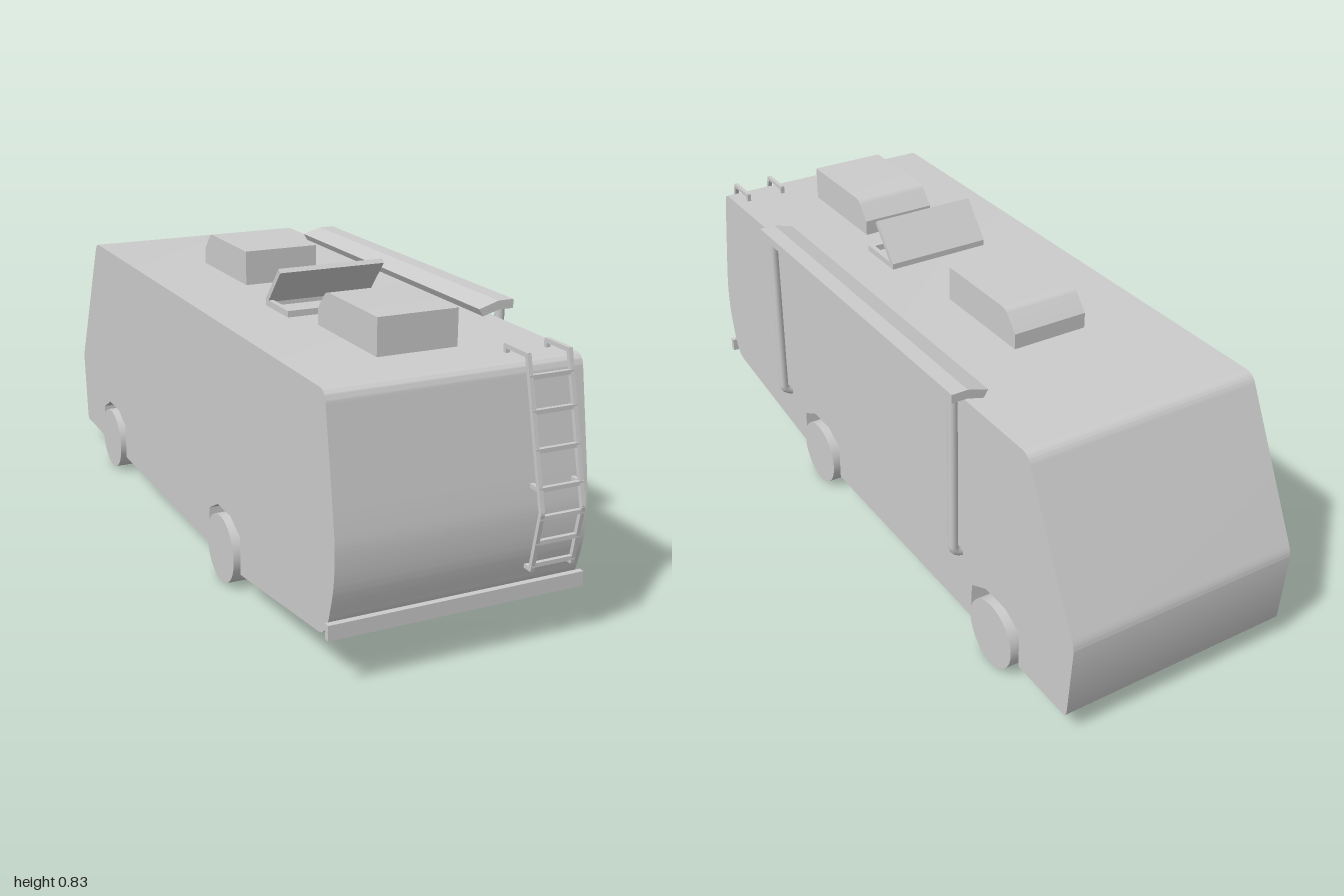
import * as THREE from 'three';
import { toCreasedNormals } from 'three/addons/utils/BufferGeometryUtils.js';

const grey = new THREE.MeshStandardMaterial({ color: 0xcccccc });

export function createModel() {
  const group = new THREE.Group();

  const add = (name, geometry, parent = group) => {
    const mesh = new THREE.Mesh(geometry, grey);
    mesh.name = name;
    parent.add(mesh);
    return mesh;
  };
  const box = (name, x0, x1, y0, y1, z0, z1, parent) =>
    add(name, new THREE.BoxGeometry(x1 - x0, y1 - y0, z1 - z0), parent)
      .position.set((x0 + x1) / 2, (y0 + y1) / 2, (z0 + z1) / 2);

  // side profile in (z, y), extruded across the width from x0 to x1
  const acrossWidth = (shape, x0, x1) => {
    const g = new THREE.ExtrudeGeometry(shape, { depth: x1 - x0, bevelEnabled: false, curveSegments: 10 });
    g.rotateY(-Math.PI / 2).translate(x1, 0, 0);
    return toCreasedNormals(g, 0.5);
  };

  // square bar between two points
  const bar = (name, a, b, size, parent) => {
    const from = new THREE.Vector3(...a), to = new THREE.Vector3(...b);
    const mesh = add(name, new THREE.BoxGeometry(size, size, from.distanceTo(to) + size * 0.7), parent);
    mesh.position.copy(from).lerp(to, 0.5);
    mesh.lookAt(to);
  };

  // body with arches cut through the full width
  const axles = [0.29, -0.67];
  const body = new THREE.Shape();
  body.moveTo(-0.77, 0.712);
  body.lineTo(0.875, 0.712);
  body.quadraticCurveTo(0.9, 0.712, 0.905, 0.685);
  body.splineThru([[0.93, 0.535], [0.95, 0.41], [0.956, 0.34], [0.95, 0.26], [0.93, 0.185]]
    .map(([z, y]) => new THREE.Vector2(z, y)));
  body.quadraticCurveTo(0.915, 0.13, 0.875, 0.123);
  body.lineTo(0.404, 0.062);
  for (const z of axles) {
    for (const [dz, y] of [[0.112, 0.062], [0.112, 0.168], [0.045, 0.202], [-0.045, 0.202], [-0.108, 0.168], [-0.108, 0.062]]) {
      body.lineTo(z + dz, y);
    }
  }
  body.lineTo(-0.97, 0.062);
  body.quadraticCurveTo(-0.983, 0.062, -0.985, 0.08);
  body.lineTo(-0.999, 0.27);
  body.quadraticCurveTo(-1, 0.29, -0.99, 0.31);
  body.lineTo(-0.805, 0.685);
  body.quadraticCurveTo(-0.793, 0.712, -0.77, 0.712);
  add('body', acrossWidth(body, -0.355, 0.315));

  // wheels
  for (const z of axles) {
    for (const [name, x] of [['rightWheel', -0.313], ['leftWheel', 0.276]]) {
      const wheel = new THREE.CylinderGeometry(0.094, 0.094, 0.107, 40).rotateZ(Math.PI / 2);
      add(name, wheel).position.set(x, 0.094, z);
    }
  }

  // bumper
  box('bumper', -0.365, 0.325, 0.133, 0.172, 0.93, 0.946);

  // roof units with a sloped, rounded end
  for (const z of [0.405, -0.385]) {
    const unit = new THREE.Shape();
    unit.moveTo(z, 0.705);
    unit.lineTo(z, 0.755);
    unit.lineTo(z + 0.035, 0.795);
    unit.quadraticCurveTo(z + 0.045, 0.808, z + 0.065, 0.808);
    unit.lineTo(z + 0.32, 0.808);
    unit.lineTo(z + 0.32, 0.705);
    add('roofUnit', acrossWidth(unit, -0.137, 0.08));
  }

  // open roof hatch: rim and tilted lid
  const hatch = new THREE.Group();
  hatch.name = 'roofHatch';
  group.add(hatch);
  const [hx0, hx1, hz0, hz1] = [-0.177, 0.125, 0.167, 0.31];
  box('hatchRim', hx0, hx1, 0.705, 0.729, hz0, hz0 + 0.014, hatch);
  box('hatchRim', hx0, hx1, 0.705, 0.729, hz1 - 0.014, hz1, hatch);
  box('hatchRim', hx0, hx0 + 0.014, 0.705, 0.729, hz0, hz1, hatch);
  box('hatchRim', hx1 - 0.014, hx1, 0.705, 0.729, hz0, hz1, hatch);
  const lid = new THREE.Shape([[0.166, 0.729], [0.18, 0.722], [0.262, 0.818], [0.252, 0.828]]
    .map(([z, y]) => new THREE.Vector2(z, y)));
  add('hatchLid', acrossWidth(lid, hx0, hx1), hatch);

  // awning case along the left edge
  const awning = new THREE.Shape([[0.263, 0.737], [0.275, 0.717], [0.322, 0.73], [0.365, 0.73], [0.365, 0.754], [0.32, 0.754]]
    .map(([x, y]) => new THREE.Vector2(x, y)));
  add('awning', new THREE.ExtrudeGeometry(awning, { depth: 1.07, bevelEnabled: false }).translate(0, 0, -0.545));

  // awning posts, bent in to the wall at the foot
  for (const [z, foot] of [[0.503, 0.199], [-0.503, 0.242]]) {
    const path = new THREE.CurvePath();
    const v = (x, y) => new THREE.Vector3(x, y, z);
    path.add(new THREE.LineCurve3(v(0.338, 0.74), v(0.338, foot + 0.026)));
    path.add(new THREE.QuadraticBezierCurve3(v(0.338, foot + 0.026), v(0.336, foot + 0.004), v(0.305, foot)));
    add('awningPost', new THREE.TubeGeometry(path, 60, 0.013, 12));
  }

  // ladder
  const ladder = new THREE.Group();
  ladder.name = 'ladder';
  group.add(ladder);
  const rail = [[0.71, 0.815], [0.729, 0.815], [0.729, 0.905], [0.37, 0.993], [0.217, 0.963], [0.217, 0.93]];
  const railZ = y => y > 0.37
    ? THREE.MathUtils.mapLinear(y, 0.37, 0.729, 0.993, 0.905)
    : THREE.MathUtils.mapLinear(y, 0.217, 0.37, 0.963, 0.993);
  for (const x of [0.16, 0.274]) {
    for (let i = 1; i < rail.length; i++) {
      bar('ladderRail', [x, ...rail[i - 1]], [x, ...rail[i]], 0.011, ladder);
    }
    bar('ladderBracket', [x, 0.424, railZ(0.424)], [x, 0.424, 0.945], 0.011, ladder);
  }
  for (const y of [0.679, 0.6, 0.512, 0.424, 0.357, 0.29, 0.228]) {
    bar('ladderRung', [0.16, y, railZ(y)], [0.274, y, railZ(y)], 0.011, ladder);
  }

  return group;
}
